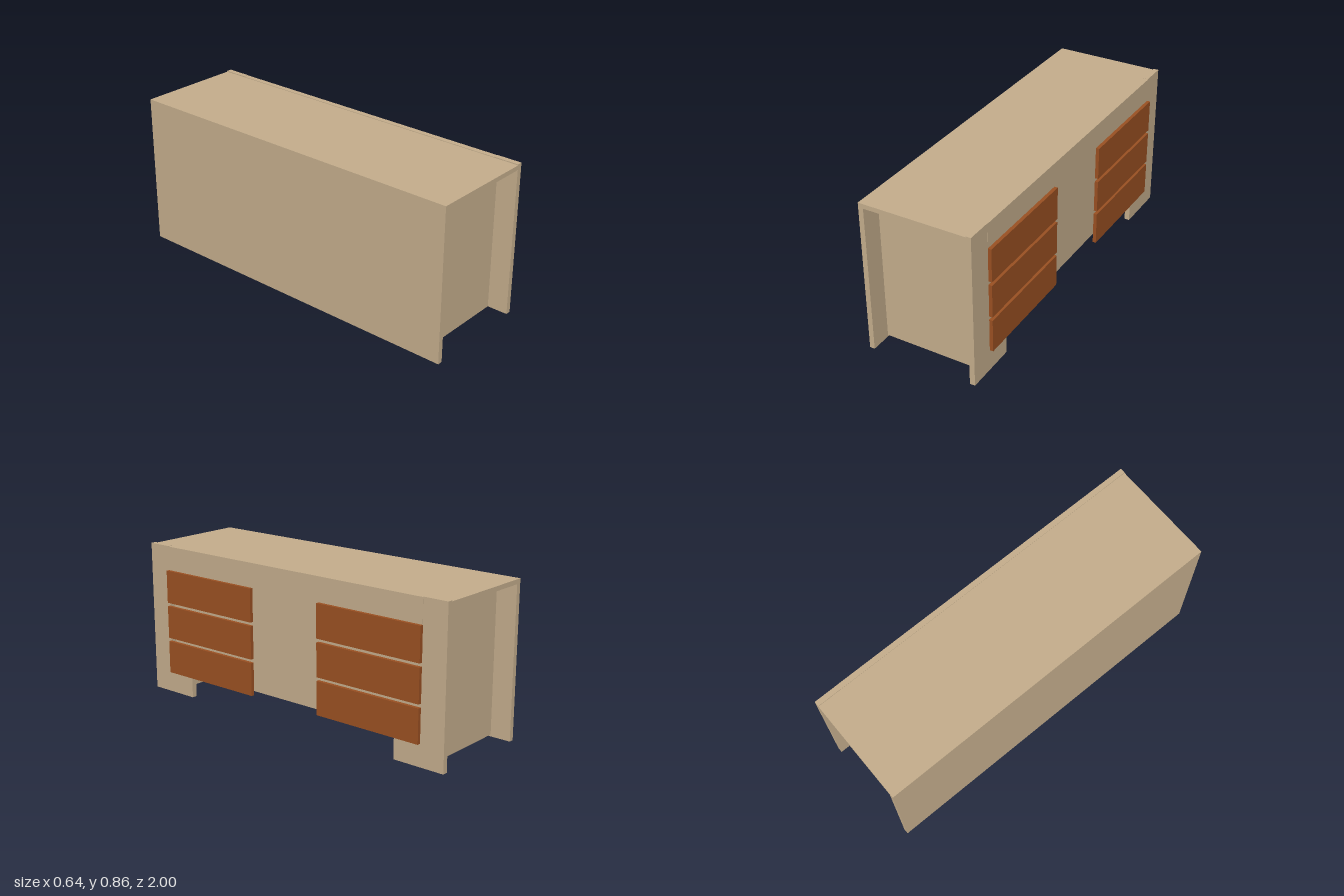
import * as THREE from 'three';

export function createModel() {
  const group = new THREE.Group();
  group.name = 'dresser';

  const wood = new THREE.MeshStandardMaterial({ color: 0xc4ad8c });
  wood.name = 'light wood';
  const drawerWood = new THREE.MeshStandardMaterial({ color: 0x9a5022 });
  drawerWood.name = 'red brown wood';

  // Adds a board spanning the given ranges
  function board(name, [x0, x1], [y0, y1], [z0, z1], material = wood) {
    const mesh = new THREE.Mesh(new THREE.BoxGeometry(x1 - x0, y1 - y0, z1 - z0), material);
    mesh.position.set((x0 + x1) / 2, (y0 + y1) / 2, (z0 + z1) / 2);
    mesh.name = name;
    group.add(mesh);
  }
  // Adds a board and its mirror image across z = 0
  function pair(name, x, y, [z0, z1], material) {
    board(name, x, y, [z0, z1], material);
    board(name, x, y, [-z1, -z0], material);
  }

  // Carcass
  board('backPanel', [-0.32, -0.292], [0, 0.825], [-1, 1]);
  board('top', [-0.32, 0.27], [0.825, 0.85], [-1, 1]);
  board('bottomPanel', [-0.292, 0.245], [0.14, 0.165], [-0.86, 0.86]);
  board('innerFront', [0.245, 0.27], [0.14, 0.825], [-0.86, 0.86]);
  pair('sidePanel', [-0.292, 0.27], [0.01, 0.825], [0.86, 0.885]);

  // Front frame: stiles, top rail and feet
  pair('stile', [0.27, 0.299], [0.01, 0.855], [0.86, 1]);
  board('topRail', [0.27, 0.3], [0.712, 0.853], [-0.86, 0.86]);
  pair('foot', [0.27, 0.299], [0.01, 0.145], [0.705, 0.86]);

  // Two columns of drawer fronts
  for (let i = 0; i < 3; i++) {
    const y = 0.131 + i * 0.203;
    pair('drawerFront', [0.3, 0.319], [y, y + 0.183], [0.227, 0.862], drawerWood);
  }
  return group;
}
